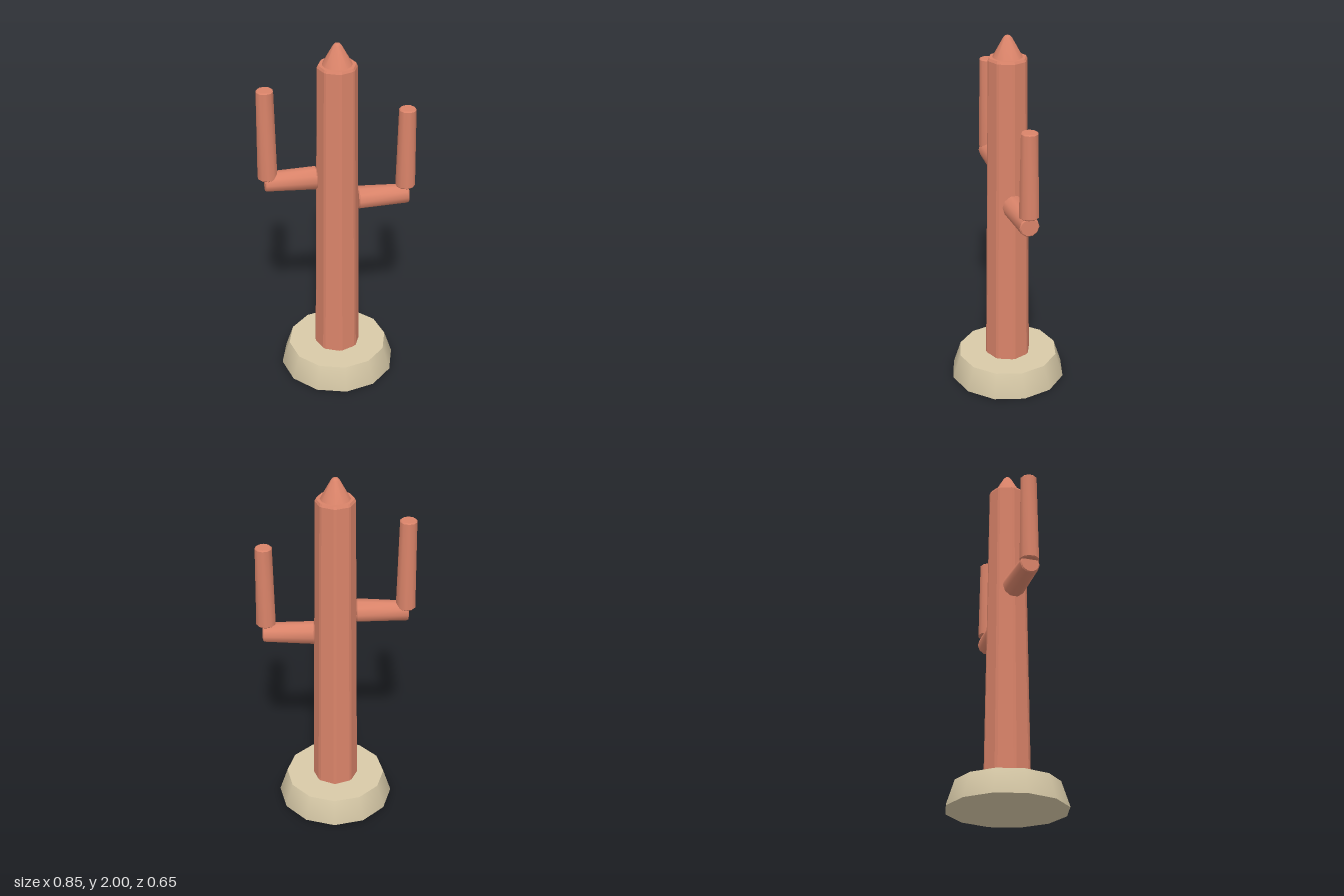
import * as THREE from 'three';
import { toCreasedNormals } from 'three/addons/utils/BufferGeometryUtils.js';

const clay = new THREE.MeshStandardMaterial({ color: 0xd98369 });
const clayFlat = new THREE.MeshStandardMaterial({ color: 0xd98369, flatShading: true });
const sand = new THREE.MeshStandardMaterial({ color: 0xd8caa8 });

// Closed turned solid from [radius, y] pairs, bottom to top
function turned(profile, sides) {
  return new THREE.LatheGeometry(profile.map(([r, y]) => new THREE.Vector2(r, y)), sides);
}

function part(name, geometry, material) {
  const mesh = new THREE.Mesh(geometry, material);
  mesh.name = name;
  return mesh;
}

// Tapered round limb standing on its origin, with small chamfers at both ends
function limb(name, r0, r1, length) {
  const b = 0.006;
  const geo = turned([[0, 0], [r0 - b, 0], [r0, b], [r1, length - b], [r1 - b, length], [0, length]], 10);
  return part(name, toCreasedNormals(geo, 0.7), clay);
}

// Eight-sided trunk with narrow chamfers along its corners
function trunkGeometry() {
  const geo = turned([[0, 0.13], [0.127, 0.13], [0.105, 1.872], [0.098, 1.885], [0, 1.885]], 16);
  const p = geo.attributes.position;
  for (let i = 0; i < p.count; i++) {
    const r = Math.hypot(p.getX(i), p.getZ(i));
    const k = (Math.round(Math.atan2(p.getX(i), p.getZ(i)) / (Math.PI / 8)) + 16) % 16;
    const a = Math.floor(k / 2) * Math.PI / 4 + (k % 2 ? 0.07 : -0.07);
    p.setX(i, r * Math.sin(a));
    p.setZ(i, r * Math.cos(a));
  }
  return geo;
}

// Elbowed arm: a level piece out from the trunk and an upright piece on its end
function arm(name, side, levelY, uprightY, topY) {
  const group = new THREE.Group();
  group.name = name;
  const level = limb('armLevel', 0.064, 0.054, 0.28);
  level.rotation.z = -side * Math.PI / 2;
  level.position.set(side * 0.112, levelY, 0);
  const upright = limb('armUpright', 0.054, 0.046, topY - uprightY);
  upright.position.set(side * 0.375, uprightY, 0);
  group.add(level, upright);
  return group;
}

export function createModel() {
  const model = new THREE.Group();
  model.name = 'cactus';

  const base = turned([[0, 0], [0.325, 0], [0.325, 0.005], [0.281, 0.14], [0, 0.14]], 12);
  model.add(part('base', toCreasedNormals(base, 0.7), sand));

  model.add(part('trunk', trunkGeometry(), clayFlat));

  // Pointed cap with a blunt tip
  const tip = turned([[0, 1.875], [0.082, 1.88], [0.023, 1.987], [0.014, 1.997], [0, 2]], 12);
  model.add(part('tip', toCreasedNormals(tip, 0.7), clay));

  model.add(arm('leftArm', 1, 1.088, 1.14, 1.605));
  model.add(arm('rightArm', -1, 1.232, 1.255, 1.768));
  return model;
}
